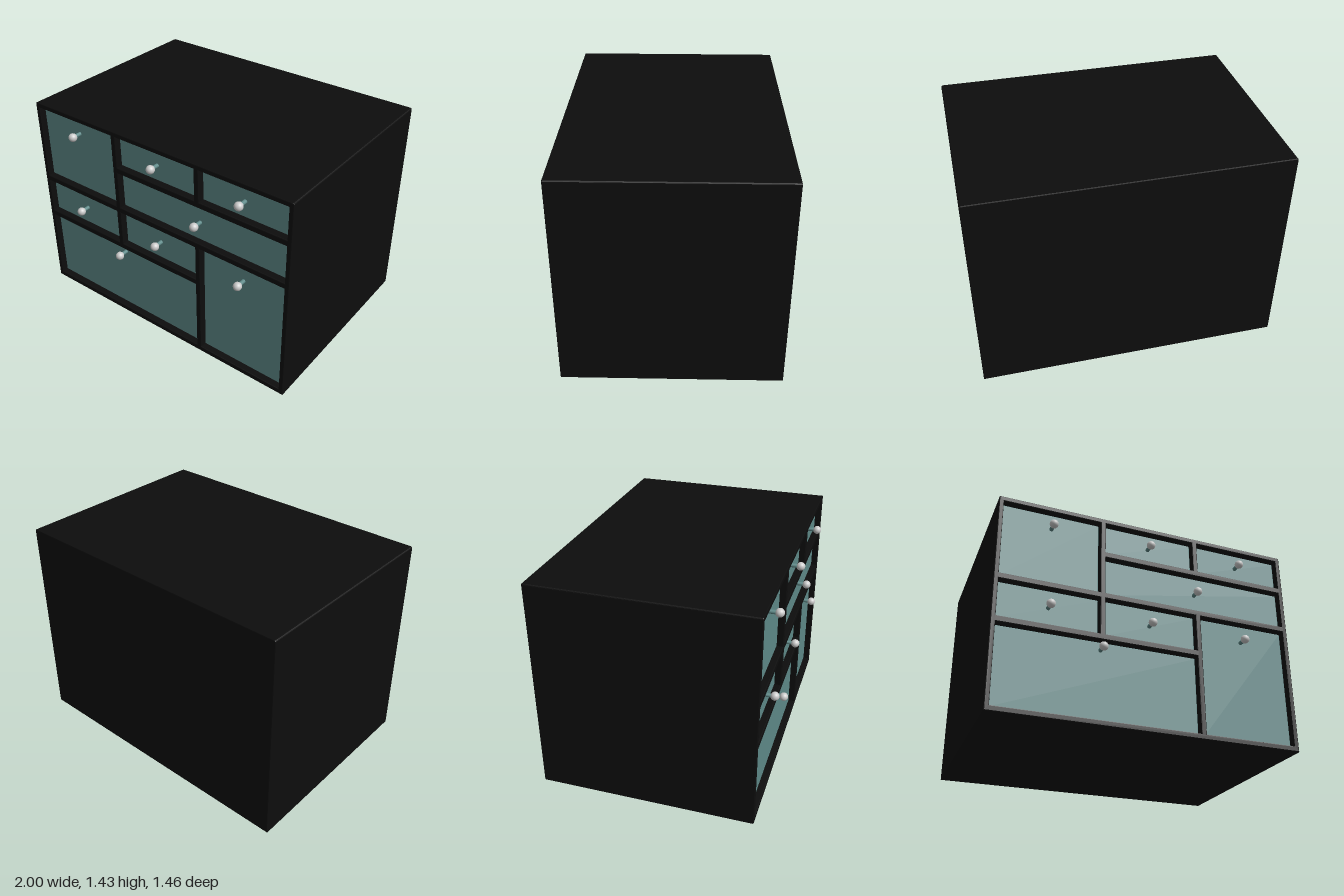
import * as THREE from 'three';
import { RoundedBoxGeometry } from 'three/addons/geometries/RoundedBoxGeometry.js';

const BEVEL = 0.005, FRONT = 0.68, BACK = -0.73, HEIGHT = 1.43;
const FACE = 0.638; // drawer faces sit back inside the frame

// Drawer fronts: left, right, bottom, top, then knob x, y
const DRAWERS = [
  [-0.968, -0.332, 0.882, 1.396, -0.65, 1.29],
  [-0.294, 0.320, 1.182, 1.396, 0.01, 1.29],
  [0.358, 0.968, 1.182, 1.396, 0.66, 1.29],
  [-0.294, 0.968, 0.882, 1.139, 0.335, 1.01],
  [-0.968, -0.332, 0.594, 0.840, -0.65, 0.72],
  [-0.294, 0.320, 0.594, 0.840, 0.01, 0.72],
  [0.358, 0.968, 0.037, 0.840, 0.66, 0.72],
  [-0.968, 0.320, 0.037, 0.551, -0.315, 0.497],
];

// Cabinet outline with slightly eased top corners
function outline() {
  const r = 0.012, s = new THREE.Shape();
  s.moveTo(-1, 0);
  s.lineTo(1, 0);
  s.lineTo(1, HEIGHT - r);
  s.quadraticCurveTo(1, HEIGHT, 1 - r, HEIGHT);
  s.lineTo(-1 + r, HEIGHT);
  s.quadraticCurveTo(-1, HEIGHT, -1, HEIGHT - r);
  s.closePath();
  return s;
}

function rectHole([x0, x1, y0, y1]) {
  const g = 0.002, p = new THREE.Path();
  p.moveTo(x0 - g, y0 - g);
  p.lineTo(x0 - g, y1 + g);
  p.lineTo(x1 + g, y1 + g);
  p.lineTo(x1 + g, y0 - g);
  p.closePath();
  return p;
}

// Extrude a shape between two depths, with a small bevel inside its outline
function slab(shape, z0, z1) {
  const geo = new THREE.ExtrudeGeometry(shape, {
    depth: z1 - z0 - 2 * BEVEL, curveSegments: 4, bevelEnabled: true,
    bevelThickness: BEVEL, bevelSize: BEVEL, bevelOffset: -BEVEL, bevelSegments: 2,
  });
  return geo.translate(0, 0, z0 + BEVEL);
}

export function createModel() {
  const model = new THREE.Group();
  model.name = 'chestOfDrawers';
  const black = new THREE.MeshStandardMaterial({ color: 0x0d0d0d });
  const teal = new THREE.MeshStandardMaterial({ color: 0x5f8a89 });
  const grey = new THREE.MeshStandardMaterial({ color: 0xcccccc });

  const add = (parent, name, geo, mat, x = 0, y = 0, z = 0) => {
    const mesh = new THREE.Mesh(geo, mat);
    mesh.name = name;
    mesh.position.set(x, y, z);
    parent.add(mesh);
    return mesh;
  };

  // Carcass with one opening per drawer, closed by a back panel
  const frame = outline();
  frame.holes = DRAWERS.map(rectHole);
  add(model, 'carcass', slab(frame, BACK + 0.02, FRONT), black);
  add(model, 'backPanel', slab(outline(), BACK, BACK + 0.04), black);

  // Drawers, each with a ball knob on a short stem
  const knobGeo = new THREE.SphereGeometry(0.028, 24, 16);
  const stemGeo = new THREE.CylinderGeometry(0.013, 0.013, 0.07, 16).rotateX(Math.PI / 2);
  const depth = FACE - BACK - 0.06;
  DRAWERS.forEach(([x0, x1, y0, y1, kx, ky], i) => {
    const drawer = new THREE.Group();
    drawer.name = `drawer${i + 1}`;
    add(drawer, 'drawerBox', new RoundedBoxGeometry(x1 - x0, y1 - y0, depth, 2, 0.006), teal,
      (x0 + x1) / 2, (y0 + y1) / 2, FACE - depth / 2);
    add(drawer, 'knobStem', stemGeo, teal, kx, ky, FACE + 0.03);
    add(drawer, 'knob', knobGeo, grey, kx, ky, 0.702);
    model.add(drawer);
  });
  return model;
}
